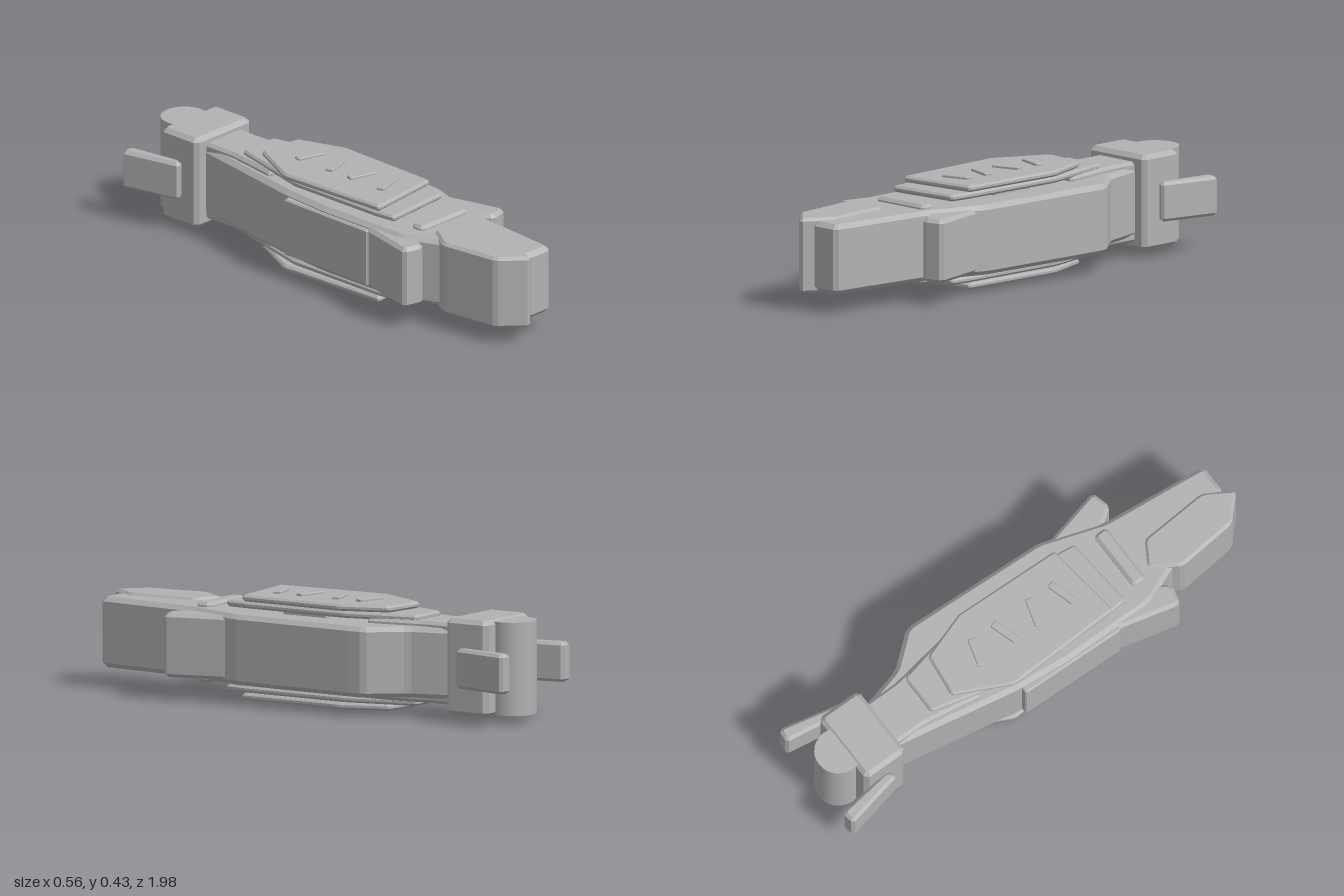
import * as THREE from 'three';

const MID = 0.2165; // height of the plane the model is mirrored about

export function createModel() {
  const model = new THREE.Group();
  model.name = 'model';
  const grey = new THREE.MeshStandardMaterial({ color: 0xb2b2b2 });
  grey.name = 'plain grey';

  // Cut every corner of an outline by distance c
  const cutCorners = (pts, c) => pts.flatMap((p, i) => {
    const n = pts.length;
    return [pts[(i + n - 1) % n], pts[(i + 1) % n]].map((q) => {
      const dx = q[0] - p[0], dz = q[1] - p[1], len = Math.hypot(dx, dz);
      const t = Math.min(c, len * 0.3) / len;
      return [p[0] + dx * t, p[1] + dz * t];
    });
  });

  // Chamfered slab from a plan outline of [x, z] points, between two heights
  const slab = (name, pts, y0, y1, bevel, cut = bevel) => {
    const outline = cut ? cutCorners(pts, cut) : pts;
    const shape = new THREE.Shape(outline.map(([x, z]) => new THREE.Vector2(x, -z)));
    const geo = new THREE.ExtrudeGeometry(shape, {
      depth: y1 - y0 - 2 * bevel, bevelEnabled: true, bevelThickness: bevel,
      bevelSize: bevel, bevelOffset: -bevel, bevelSegments: 1, curveSegments: 1,
    });
    geo.rotateX(-Math.PI / 2).translate(0, y0 + bevel, 0);
    const mesh = new THREE.Mesh(geo, grey);
    mesh.name = name;
    model.add(mesh);
    return mesh;
  };
  const rect = (x0, x1, z0, z1) => [[x0, z0], [x1, z0], [x1, z1], [x0, z1]];
  const flipX = (pts) => pts.map(([x, z]) => [-x, z]);

  // Main body
  slab('body', [
    [-0.1, -0.69], [0.1, -0.69], [0.15, -0.5], [0.262, -0.365], [0.262, -0.31],
    [0.24, 0.25], [0.155, 0.51], [0.113, 0.95], [-0.015, 0.95], [-0.16, 0.58],
    [-0.215, 0.45], [-0.215, 0.05], [-0.195, -0.17],
  ], 0.08, 0.355, 0.018, 0.015);

  // Asymmetrical pointed toe
  slab('toe', [
    [-0.095, 0.525], [0.005, 0.585], [0.026, 0.875], [-0.045, 0.99],
    [-0.145, 0.895], [-0.172, 0.64],
  ], 0.07, 0.365, 0.012);

  // Panel on the flat side
  slab('sidePanel', [[-0.19, -0.15], [-0.222, -0.15], [-0.232, 0.3], [-0.2, 0.3]], 0.1, 0.333, 0.006);

  // Neck, head and round back
  slab('neck', [[-0.1, -0.7], [0.1, -0.7], [0.1, -0.54], [0.14, -0.3], [-0.14, -0.3], [-0.1, -0.54]],
    0.058, 0.375, 0.012);
  slab('head', rect(-0.155, 0.155, -0.867, -0.675), 0.03, 0.405, 0.017);
  const back = new THREE.Mesh(new THREE.CylinderGeometry(0.093, 0.093, 0.363, 32), grey);
  back.name = 'roundBack';
  back.position.set(0, MID, -0.885);
  model.add(back);

  // Ears and side fins
  const ear = [[0.24, -0.993], [0.18, -1.0], [0.145, -0.76], [0.185, -0.74]];
  const fin = [[0.22, 0.28], [0.285, 0.545], [0.2, 0.567], [0.14, 0.48], [0.14, 0.3]];
  for (const [side, f] of [['left', (p) => p], ['right', flipX]]) {
    slab(side + 'Ear', f(ear), 0.14, 0.295, 0.012);
    slab(side + 'Fin', f(fin), 0.093, 0.342, 0.014);
  }

  // Layered plates on both faces
  const under = [
    [-0.08, -0.5], [0.09, -0.5], [0.158, -0.2], [0.15, 0.26], [0.14, 0.35],
    [-0.16, 0.375], [-0.17, 0.28], [-0.17, -0.15],
  ];
  const upper = [
    [-0.08, -0.402], [0.1, -0.38], [0.167, -0.185], [0.155, 0.268],
    [-0.172, 0.307], [-0.19, -0.18],
  ];
  const faceSlab = (name, pts, y0, y1, bevel, top) => top
    ? slab(name, pts, y0, y1, bevel) : slab(name, pts, 2 * MID - y1, 2 * MID - y0, bevel);
  for (const top of [true, false]) {
    const prefix = top ? 'top' : 'bottom';
    faceSlab(prefix + 'Mount', rect(-0.1, 0.12, -0.1, 0.1), 0.35, 0.375, 0.003, top);
    faceSlab(prefix + 'UnderPlate', under, 0.368, 0.393, 0.008, top);
    faceSlab(prefix + 'OuterPlate', upper, 0.395, 0.42, 0.008, top);
    // Slanted ribs in alternating directions
    [-0.222, -0.085, 0.053, 0.187].forEach((z, i) => {
      const rib = faceSlab(prefix + 'Rib' + (i + 1), rect(-0.058, 0.058, -0.016, 0.016), 0.415, 0.43, 0.003, top);
      rib.position.z = z;
      rib.rotation.y = (i % 2 ? 1 : -1) * 0.29;
    });
  }

  // Cross bar passing through the front of the body
  slab('crossBar', rect(-0.128, 0.13, 0.435, 0.497), 0.06, 0.373, 0.012);

  return model;
}
